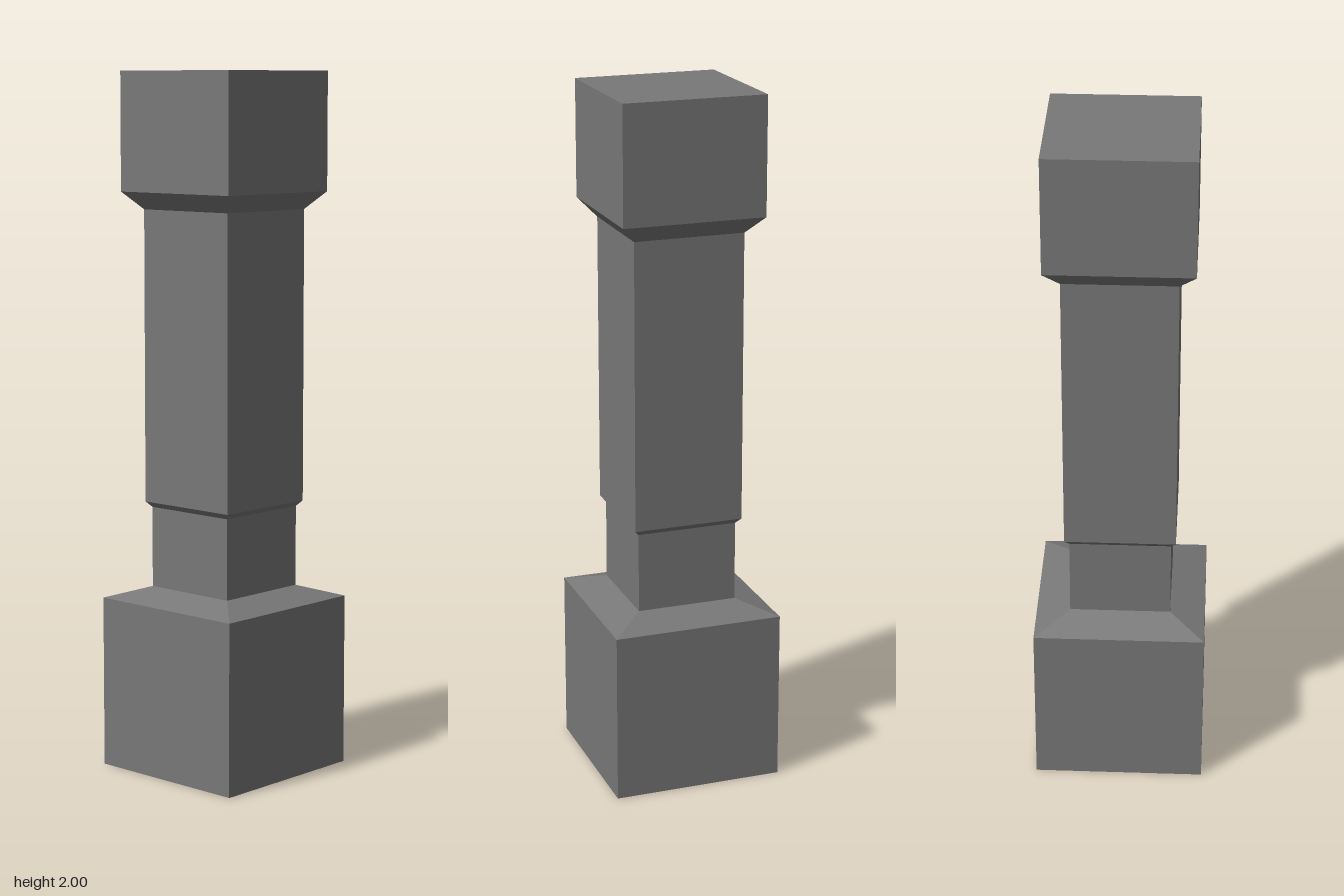
import * as THREE from 'three';

const material = new THREE.MeshStandardMaterial({ color: 0x787878, flatShading: true });

// Square section of the post: half widths at the bottom and top, and its height range.
function section(name, bottomHalf, topHalf, y0, y1, open = true) {
  const geometry = new THREE.CylinderGeometry(
    topHalf * Math.SQRT2, bottomHalf * Math.SQRT2, y1 - y0, 4, 1, open, Math.PI / 4);
  geometry.translate(0, (y0 + y1) / 2, 0);
  const mesh = new THREE.Mesh(geometry, material);
  mesh.name = name;
  return mesh;
}

export function createModel() {
  const post = new THREE.Group();
  post.name = 'squarePost';
  post.add(
    section('base', 0.247, 0.247, 0, 0.495, false),
    section('baseSlope', 0.247, 0.146, 0.495, 0.528),
    section('neck', 0.146, 0.146, 0.528, 0.76),
    section('shaftChamfer', 0.146, 0.16, 0.76, 0.776),
    section('shaft', 0.16, 0.16, 0.776, 1.613),
    section('capitalFlare', 0.16, 0.206, 1.613, 1.663),
    section('capital', 0.206, 0.206, 1.663, 2, false),
  );
  return post;
}
